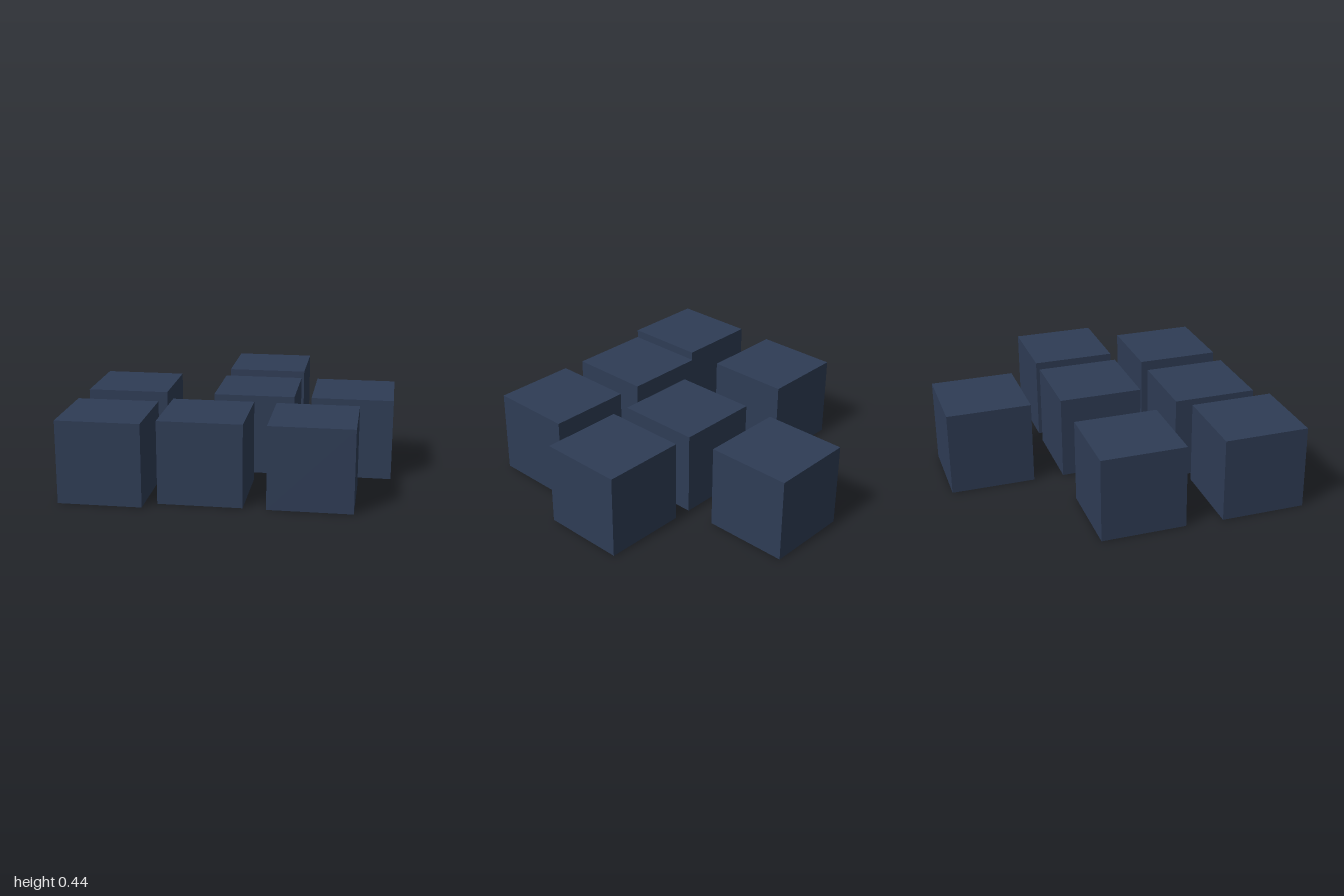
import * as THREE from 'three';

export function createModel() {
  const group = new THREE.Group();
  group.name = 'blockCluster';
  const slate = new THREE.MeshStandardMaterial({ color: 0x2e3c55 });
  slate.name = 'dark slate blue';

  // Seven identical cubes, all turned by the same angle
  const size = 0.437;
  const angle = 0.724;
  const cube = new THREE.BoxGeometry(size, size, size);
  const centres = [
    [-0.453, -0.692], [0.338, -0.593], [-0.06, -0.245], [0.582, -0.055],
    [-0.585, 0.215], [0.162, 0.31], [-0.172, 0.692],
  ];
  centres.forEach(([x, z], i) => {
    const block = new THREE.Mesh(cube, slate);
    block.name = `block${i + 1}`;
    block.position.set(x, size / 2, z);
    block.rotation.y = angle;
    group.add(block);
  });
  return group;
}
